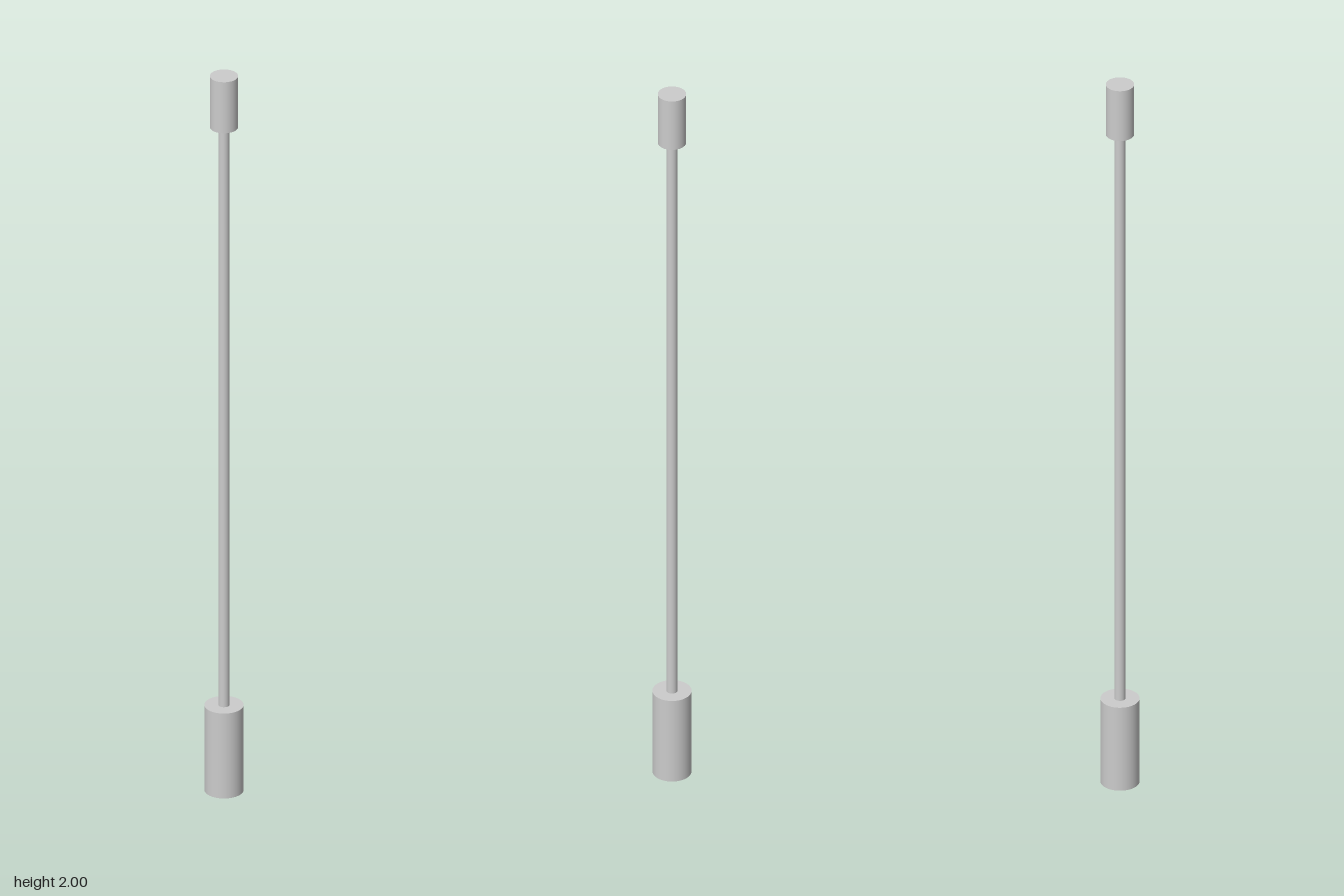
import * as THREE from 'three';

export function createModel() {
  const group = new THREE.Group();
  const material = new THREE.MeshStandardMaterial({ color: 0xcccccc });

  // Upright capped cylinder spanning bottom..top
  const addCylinder = (name, radius, bottom, top) => {
    const mesh = new THREE.Mesh(new THREE.CylinderGeometry(radius, radius, top - bottom, 48), material);
    mesh.name = name;
    mesh.position.y = (bottom + top) / 2;
    group.add(mesh);
  };

  addCylinder('base', 0.049, 0, 0.238);
  addCylinder('rod', 0.014, 0.238, 1.857);
  addCylinder('head', 0.0355, 1.857, 2);

  return group;
}
